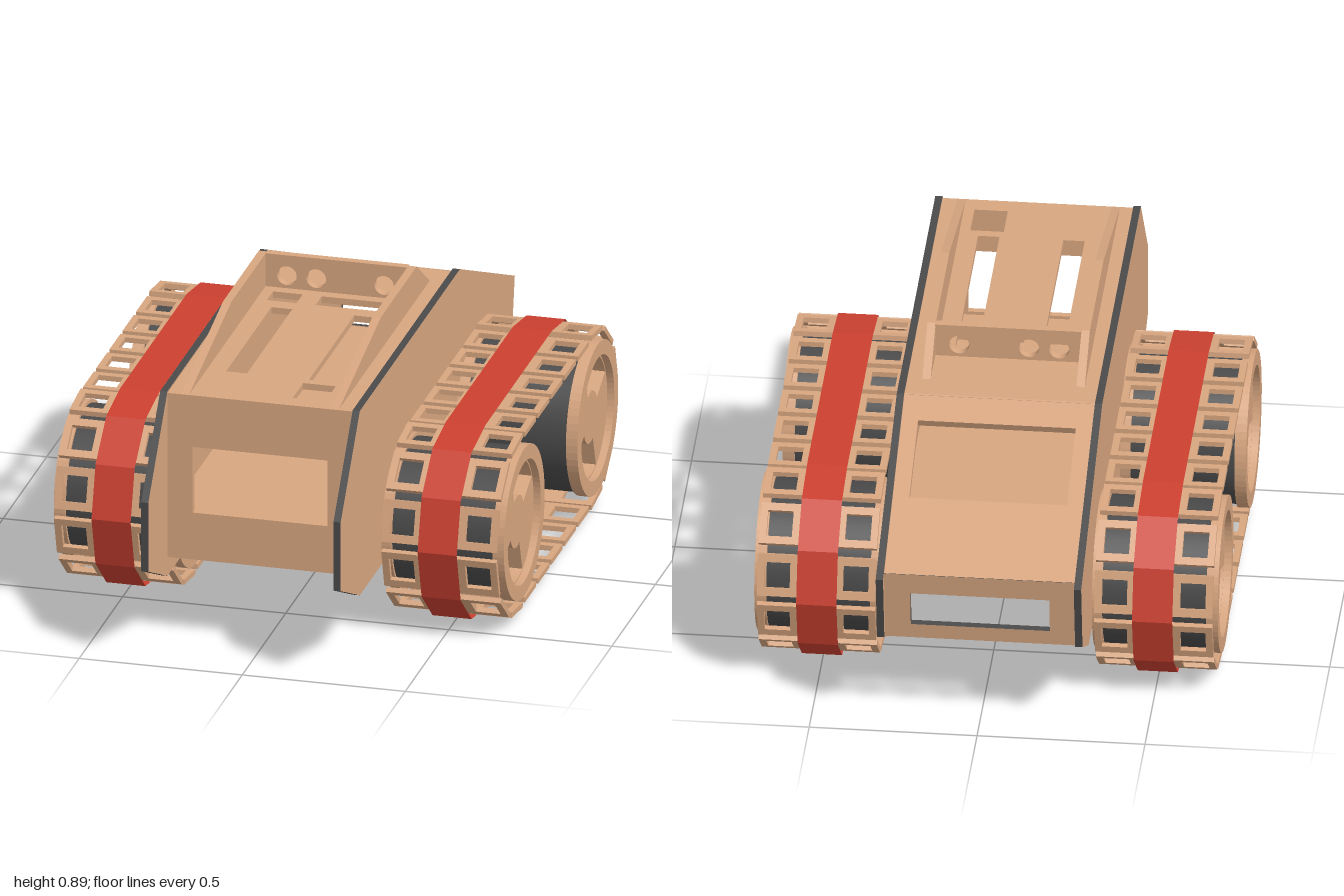
import * as THREE from 'three';

const material = (name, color) => Object.assign(new THREE.MeshStandardMaterial({ color }), { name });

export function createModel() {
  const tan = material('tan panel', 0xd8a680);
  const dark = material('dark rubber', 0x4a4a4b);
  const red = material('red band', 0xcc4030);
  red.side = THREE.DoubleSide;
  const model = new THREE.Group();
  model.name = 'trackedVehicle';

  const add = (parent, name, geometry, mat) => {
    const mesh = new THREE.Mesh(geometry, mat);
    mesh.name = name;
    parent.add(mesh);
    return mesh;
  };
  const rect = (x0, x1, y0, y1, Type = THREE.Shape) => {
    const s = new Type();
    s.moveTo(x0, y0).lineTo(x1, y0).lineTo(x1, y1).lineTo(x0, y1).closePath();
    return s;
  };
  const hole = (...r) => rect(...r, THREE.Path);
  const extrude = (shape, depth) =>
    new THREE.ExtrudeGeometry(shape, { depth, bevelEnabled: false, curveSegments: 32 });
  const polygon = pts => new THREE.Shape(pts.map(p => new THREE.Vector2(...p)));

  // Flat hull panel with cutouts, tilted about the x axis
  const hull = new THREE.Group();
  hull.name = 'hull';
  hull.position.x = -0.004;
  model.add(hull);
  const panel = (name, shape, holes, depth, y, z, tilt, mat = tan) => {
    shape.holes = holes;
    const mesh = add(hull, name, extrude(shape, depth), mat);
    mesh.position.set(0, y, z);
    mesh.rotation.x = tilt;
  };
  // Plate lying in the side plane, thickness running inwards from x
  const sidePlate = (parent, name, shape, depth, x, mat) => {
    const mesh = add(parent, name, extrude(shape, depth), mat);
    mesh.rotation.y = -Math.PI / 2;
    mesh.position.x = x;
    return mesh;
  };

  const outline = [[1, 0.52], [0.78, 0.79], [-0.37, 0.79], [-1, 0.52],
    [-0.96, 0.3], [-0.78, 0.2], [0.78, 0.2], [1, 0.3]];
  sidePlate(hull, 'leftSidePlate', polygon(outline), 0.022, 0.306, [tan, dark]);
  sidePlate(hull, 'rightSidePlate', polygon(outline), 0.022, -0.284, [tan, dark]);

  const W = 0.285;
  panel('frontPanel', rect(-W, W, 0.26, 0.765), [hole(-0.207, 0.207, 0.41, 0.62)], 0.02, 0, 0.758, 0);
  panel('topPanel', rect(-W, W, -0.365, 0.778), [
    hole(-0.16, -0.096, 0.05, 0.57), hole(0.094, 0.158, 0.05, 0.57),
    hole(-0.187, -0.096, -0.07, 0), hole(-0.038, 0.162, -0.07, 0),
    hole(0.084, 0.184, 0.6, 0.72),
  ], 0.02, 0.785, 0, Math.PI / 2);
  panel('rearSlope', rect(-W, W, 0, 0.664), [hole(-0.235, 0.235, 0.283, 0.566)],
    0.025, 0.525, -0.97, 1.166);
  panel('rearPanel', rect(-W, W, 0, 0.238), [hole(-0.207, 0.207, 0.05, 0.167)],
    0.02, 0.29, -0.935, -0.148, [tan, dark]);
  panel('floor', rect(-W, W, -0.78, 0.76), [], 0.02, 0.4, 0, Math.PI / 2);

  // Raised deck: two ribs and a bulkhead with round holes
  const rib = [[0.775, 0.785], [0.29, 0.89], [-0.12, 0.89], [-0.27, 0.785]];
  sidePlate(hull, 'leftRib', polygon(rib), 0.025, 0.24, tan);
  sidePlate(hull, 'rightRib', polygon(rib), 0.025, -0.219, tan);
  const ports = [-0.154, -0.064, 0.144].map(x => new THREE.Path().absarc(x, 0.825, 0.03, 0, Math.PI * 2));
  panel('bulkhead', rect(-0.22, 0.216, 0.784, 0.89), ports, 0.025, 0, -0.13, 0);

  // Track path: stadium around the two wheels
  const CY = 0.297, ZF = 0.345, ZR = -0.5, R = 0.265, COUNT = 22;
  const flat = ZF - ZR, arc = Math.PI * R;
  const pitch = 2 * (flat + arc) / COUNT;
  const pathAt = s => {
    s = (s + 2 * (flat + arc)) % (2 * (flat + arc));
    const quarter = arc / 2;
    if (s <= quarter) return { z: ZF, a: s / R };
    if (s <= quarter + flat) return { z: ZF - (s - quarter), a: Math.PI / 2 };
    if (s <= quarter + flat + arc) return { z: ZR, a: (s - flat) / R };
    if (s <= quarter + 2 * flat + arc) return { z: ZR + s - quarter - flat - arc, a: Math.PI * 1.5 };
    return { z: ZF, a: (s - 2 * flat) / R };
  };

  // Track link with two square openings
  const linkShape = rect(-0.176, 0.176, -0.064, 0.064);
  linkShape.holes = [-0.117, 0.117].map(x => hole(x - 0.038, x + 0.038, -0.04, 0.04));
  const linkGeometry = extrude(linkShape, 0.016).translate(0, 0, -0.008);

  // Faceted red band, one facet per link
  const bandGeometry = () => {
    const pts = [], pos = [];
    for (let i = 0; i < COUNT; i++) {
      const { z, a } = pathAt(i * pitch);
      const sy = Math.sin(a);
      pts.push([0.295 + 0.289 * sy * (sy < 0 ? 1.02 : 1), z + 0.289 * Math.cos(a)]);
    }
    pts.forEach(([y, z], i) => {
      const [y2, z2] = pts[(i + 1) % COUNT];
      const a = [0.44, y, z], b = [0.56, y, z], c = [0.56, y2, z2], d = [0.44, y2, z2];
      pos.push(...a, ...b, ...c, ...a, ...c, ...d);
    });
    const g = new THREE.BufferGeometry();
    g.setAttribute('position', new THREE.Float32BufferAttribute(pos, 3));
    g.computeVertexNormals();
    return g;
  };

  // Wheel: dark drum, tan flanges, recessed face with two sector pockets
  const circle = (r, Type = THREE.Shape) => new Type().absarc(0, 0, r, 0, Math.PI * 2);
  const sector = (from, to) => {
    const a = THREE.MathUtils.degToRad(from), b = THREE.MathUtils.degToRad(to);
    return new THREE.Path().absarc(0, 0, 0.185, a, b, false).absarc(0, 0, 0.08, b, a, true).closePath();
  };
  const makeWheel = z => {
    const wheel = new THREE.Group();
    wheel.name = 'wheel';
    wheel.position.set(0, 0.303, z);
    const drum = add(wheel, 'drum', new THREE.CylinderGeometry(0.225, 0.225, 0.32, 48, 1, true), dark);
    drum.rotation.z = Math.PI / 2;
    drum.position.x = 0.5;
    const rim = circle(0.235);
    rim.holes = [circle(0.19, THREE.Path)];
    sidePlate(wheel, 'outerRim', rim, 0.035, 0.69, tan);
    const face = circle(0.2);
    face.holes = [sector(67, 154), sector(-109, -23)];
    sidePlate(wheel, 'wheelFace', face, 0.05, 0.668, tan);
    sidePlate(wheel, 'pocketFloor', circle(0.2), 0.01, 0.62, tan);
    sidePlate(wheel, 'innerFlange', circle(0.235), 0.03, 0.345, tan);
    return wheel;
  };

  for (const side of [1, -1]) {
    const track = new THREE.Group();
    track.name = side > 0 ? 'leftTrack' : 'rightTrack';
    track.scale.x = side;
    for (let i = 0; i < COUNT; i++) {
      const { z, a } = pathAt((i + 0.5) * pitch);
      const link = add(track, 'trackLink', linkGeometry, tan);
      link.position.set(0.502, CY + R * Math.sin(a), z + R * Math.cos(a));
      link.rotation.x = -a;
    }
    add(track, 'redBand', bandGeometry(), red);
    track.add(makeWheel(ZF), makeWheel(ZR));
    model.add(track);
  }
  return model;
}
